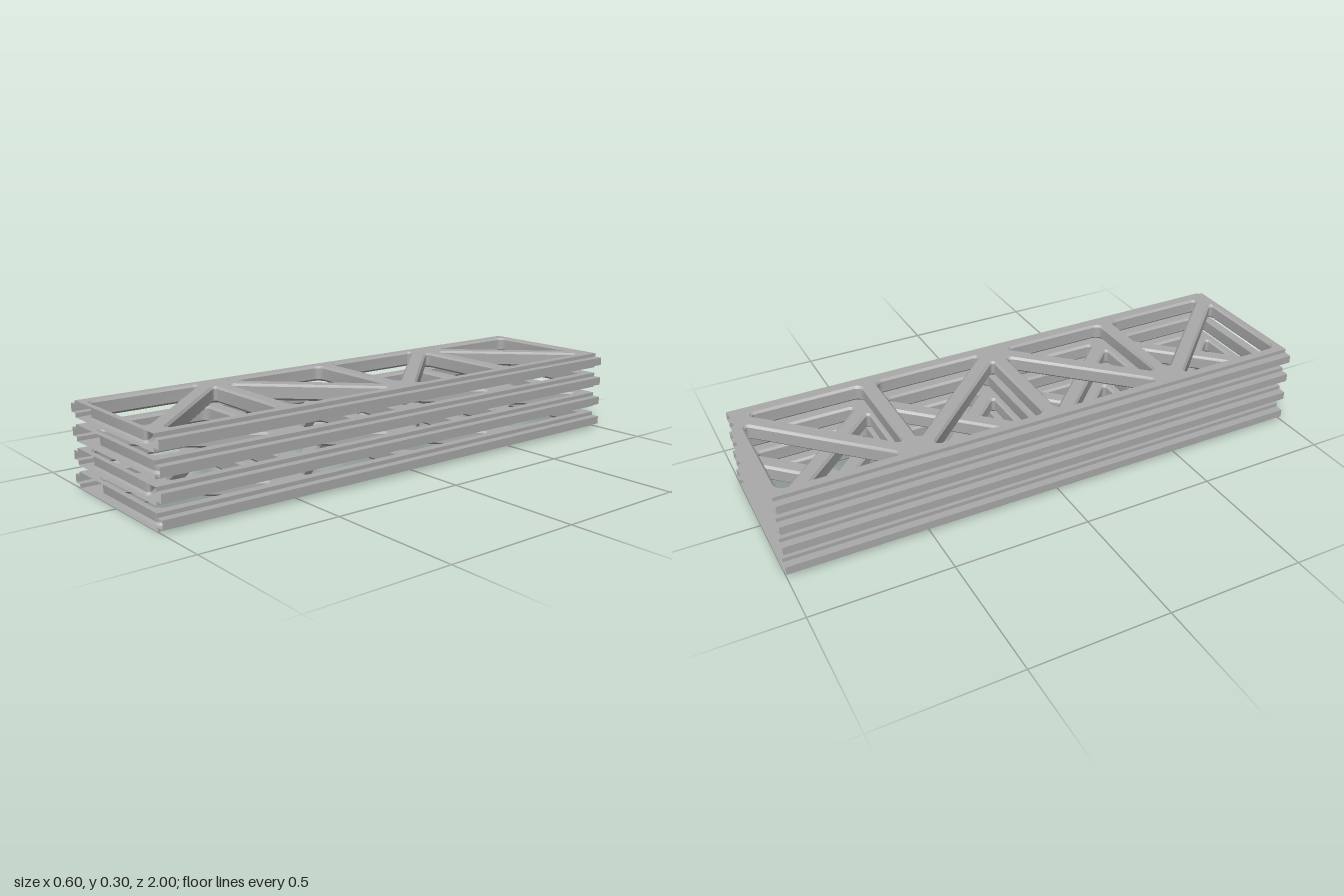
import * as THREE from 'three';
import { mergeGeometries, toCreasedNormals } from 'three/addons/utils/BufferGeometryUtils.js';

const LAYERS = 4, PITCH = 0.0815, THICK = 0.058, BEVEL = 0.008;
const BAYS = 4, BAY = 0.5, PLATE_X = 0.27, RAIL_X = 0.3;

// Right triangle cut-out of one bay, beside a diagonal brace: [x, z, corner radius]
const CUTOUT = [[-0.238, -0.23, 0.036], [0.193, -0.23, 0.018], [-0.238, 0.2135, 0.018]];

// Rounded outline of a counter-clockwise polygon, shrunk by inset
function roundedLoop(corners, inset) {
  const pts = [], n = corners.length, SEG = 5;
  const normal = (a, b) => new THREE.Vector2(b[1] - a[1], a[0] - b[0]).normalize();
  corners.forEach((p, i) => {
    const n1 = normal(corners[(i + n - 1) % n], p);
    const n2 = normal(p, corners[(i + 1) % n]);
    const k = p[2] / (1 + n1.dot(n2));
    const cx = p[0] - (n1.x + n2.x) * k, cz = p[1] - (n1.y + n2.y) * k;
    const start = n1.angle();
    let sweep = n2.angle() - start;
    if (sweep < 0) sweep += Math.PI * 2;
    for (let s = 0; s <= SEG; s++) {
      const a = start + (sweep * s) / SEG;
      pts.push(new THREE.Vector2(cx + Math.cos(a) * (p[2] - inset), cz + Math.sin(a) * (p[2] - inset)));
    }
  });
  return pts;
}

// Surface between successive rings of 3D points
function skin(rings, closed) {
  const pos = [], n = rings[0].length;
  for (let r = 0; r < rings.length - 1; r++) {
    for (let i = 0; i < (closed ? n : n - 1); i++) {
      const j = (i + 1) % n;
      const a = rings[r][i], b = rings[r][j], c = rings[r + 1][j], d = rings[r + 1][i];
      for (const p of [a, b, c, a, c, d]) pos.push(...p);
    }
  }
  const geo = new THREE.BufferGeometry();
  geo.setAttribute('position', new THREE.Float32BufferAttribute(pos, 3));
  return toCreasedNormals(geo, 0.6);
}

// All cut-outs of a layer, with the diagonals zigzagging from bay to bay
function cutouts(flipped) {
  const list = [];
  for (let k = 0; k < BAYS; k++) {
    const zc = -1 + BAY * (k + 0.5);
    const mirror = (k % 2 === 1) !== flipped;
    for (const s of [1, -1]) {
      const tri = CUTOUT.map(([x, z, r]) => [x * s * (mirror ? -1 : 1), z * s + zc, r]);
      list.push(mirror ? tri.reverse() : tri);
    }
  }
  return list;
}

// Flat plate with cut-outs, facing up or down
function plate(holes, y, up) {
  const shape = new THREE.Shape([[-PLATE_X, -1], [PLATE_X, -1], [PLATE_X, 1], [-PLATE_X, 1]]
    .map(([x, z]) => new THREE.Vector2(x, z)));
  shape.holes = holes.map((h) => new THREE.Path(roundedLoop(h, 0)));
  const geo = new THREE.ShapeGeometry(shape);
  geo.rotateX(Math.PI / 2).translate(0, y, 0);
  if (up) {
    geo.index.array.reverse();
    geo.computeVertexNormals();
  }
  return geo;
}

// Bevelled inner walls of the cut-outs
function cutoutWalls(holes) {
  const levels = [[0, 0], [BEVEL, BEVEL], [THICK - BEVEL, BEVEL], [THICK, 0]];
  return mergeGeometries(holes.map((h) =>
    skin(levels.map(([y, inset]) => roundedLoop(h, inset).map((p) => [p.x, y, p.y])), true)));
}

// Open-ended side rail with a protruding tongue
function rail(side) {
  const profile = [[PLATE_X, 0], [PLATE_X, 0.014], [RAIL_X, 0.014],
    [RAIL_X, 0.044], [PLATE_X, 0.044], [PLATE_X, THICK]];
  const ends = side > 0 ? [1, -1] : [-1, 1];
  return skin(profile.map(([x, y]) => ends.map((z) => [x * side, y, z])), false);
}

export function createModel() {
  const metal = new THREE.MeshStandardMaterial({ color: 0xaaaaaa, side: THREE.DoubleSide });
  metal.name = 'grey metal';
  const model = new THREE.Group();
  model.name = 'trussPanelStack';

  for (let i = 0; i < LAYERS; i++) {
    const panel = new THREE.Group();
    panel.name = `trussPanel${i + 1}`;
    panel.position.y = i * PITCH;
    const holes = cutouts((LAYERS - 1 - i) % 2 === 1);
    const parts = {
      topPlate: plate(holes, THICK, true),
      bottomPlate: plate(holes, 0, false),
      braceWalls: cutoutWalls(holes),
      leftRail: rail(1),
      rightRail: rail(-1),
    };
    for (const [name, geo] of Object.entries(parts)) {
      const mesh = new THREE.Mesh(geo, metal);
      mesh.name = name;
      panel.add(mesh);
    }
    model.add(panel);
  }
  return model;
}
